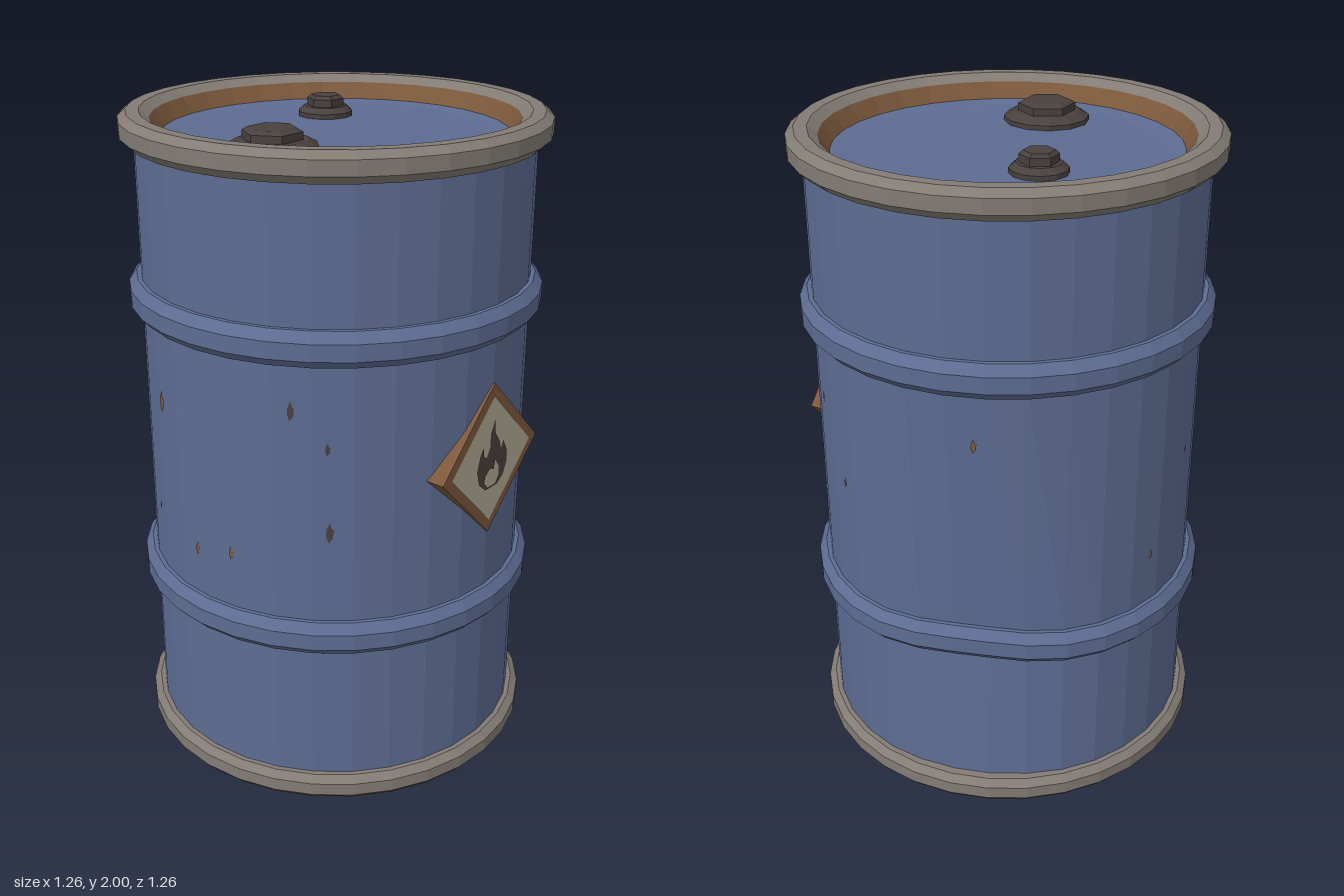
import * as THREE from 'three';

const SIDES = 32;

function material(name, color) {
  const m = new THREE.MeshStandardMaterial({ color });
  m.name = name;
  return m;
}

// Inward dent low on the +x side, slightly towards the back
function dentDepth(angle, y) {
  const a = (angle + 0.3) / 0.28;
  const h = (y - 0.57) / 0.3;
  return 0.05 * Math.exp(-(a * a + h * h) / 2);
}

function faceted(geometry) {
  const flat = geometry.index ? geometry.toNonIndexed() : geometry;
  flat.computeVertexNormals();
  return flat;
}

function lathe(profile, sides = SIDES, dented = false) {
  const g = new THREE.LatheGeometry(profile.map(([r, y]) => new THREE.Vector2(r, y)), sides);
  if (dented) {
    const p = g.attributes.position;
    for (let i = 0; i < p.count; i++) {
      const x = p.getX(i), y = p.getY(i), z = p.getZ(i);
      const s = 1 - dentDepth(Math.atan2(z, x), y) / Math.hypot(x, z);
      p.setXYZ(i, x * s, y, z * s);
    }
  }
  return faceted(g);
}

function polygon(points) {
  return new THREE.Shape(points.map(([x, y]) => new THREE.Vector2(x, y)));
}

const diamond = (h) => polygon([[h, 0], [0, h], [-h, 0], [0, -h]]);

export function createModel() {
  const blue = material('blue paint', 0x5d6c92);
  const grey = material('worn steel', 0x837c75);
  const rust = material('rust', 0x7c593c);
  const dark = material('dark iron', 0x48413e);
  const cream = material('label cream', 0xb0a993);

  const group = new THREE.Group();
  function add(name, geometry, mat, parent = group) {
    const mesh = new THREE.Mesh(geometry, mat);
    mesh.name = name;
    parent.add(mesh);
    return mesh;
  }

  // Drum wall and its two rolling hoops
  add('body', lathe([[0.59, 0.06], [0.59, 0.515], [0.59, 0.62], [0.59, 1.42],
    [0.59, 1.52], [0.59, 1.93]], SIDES, true), blue);
  for (const [name, y] of [['lowerHoop', 0.515], ['upperHoop', 1.415]]) {
    add(name, lathe([[0.585, y], [0.603, y], [0.626, y + 0.025], [0.626, y + 0.075],
      [0.603, y + 0.105], [0.585, y + 0.105]], SIDES, true), blue);
  }

  // Rims, rusty underside and recessed lid
  add('base', lathe([[0, 0], [0.615, 0], [0.627, 0.015]]), rust);
  add('bottomRim', lathe([[0.627, 0.015], [0.627, 0.055], [0.605, 0.075], [0.58, 0.075]]), grey);
  add('topRim', lathe([[0.58, 1.912], [0.605, 1.912], [0.632, 1.937], [0.632, 1.98],
    [0.608, 2], [0.57, 2], [0.54, 1.978]]), grey);
  add('innerWall', lathe([[0.54, 1.978], [0.51, 1.93]]), rust);
  add('lid', lathe([[0.51, 1.93], [0.45, 1.925], [0, 1.925]]), blue);

  // Screw plugs: round flange with a hexagonal head
  for (const [name, x, z, r] of [['largePlug', -0.305, 0.03, 0.13], ['smallPlug', 0.175, -0.19, 0.084]]) {
    const plug = new THREE.Group();
    plug.name = name;
    plug.position.set(x, 1.925, z);
    group.add(plug);
    add('flange', lathe([[r, 0], [r, 0.014], [r * 0.78, 0.03], [0, 0.03]], 12), dark, plug);
    const head = add('hexHead', lathe([[r * 0.67, 0.028], [r * 0.67, 0.052],
      [r * 0.53, 0.062], [0, 0.062]], 6), dark, plug);
    head.rotation.y = Math.PI / 2;
  }

  // Flat diamond hazard plate on the front
  const sign = new THREE.Group();
  sign.name = 'hazardSign';
  sign.position.set(0, 1.045, 0);
  group.add(sign);
  const frame = new THREE.ExtrudeGeometry(diamond(0.24), { depth: 0.065, bevelEnabled: false });
  add('signFrame', frame, rust, sign).position.z = 0.531;
  add('signFace', new THREE.ShapeGeometry(diamond(0.2)), cream, sign).position.z = 0.598;

  const flame = polygon([[-0.03, -0.09], [-0.065, -0.06], [-0.078, -0.015], [-0.065, 0.03],
    [-0.05, 0.055], [-0.045, 0.025], [-0.03, 0.015], [-0.015, 0.045], [-0.015, 0.085],
    [0.005, 0.128], [0.008, 0.085], [0.035, 0.045], [0.042, 0.02], [0.053, 0.045],
    [0.072, 0.01], [0.078, -0.03], [0.06, -0.07], [0.03, -0.09]]);
  flame.holes.push(new THREE.Path([[-0.02, -0.085], [0.02, -0.085], [0.038, -0.06], [0.033, -0.03],
    [0.015, -0.005], [0.008, -0.035], [-0.01, -0.025], [-0.034, -0.045], [-0.038, -0.065]]
    .map(([x, y]) => new THREE.Vector2(x, y))));
  add('flame', new THREE.ShapeGeometry(flame), dark, sign).position.z = 0.6;

  // Paint chips lying on the wall facets: angle from the front, height, size, colour
  const chipShape = new THREE.ShapeGeometry(polygon([[-0.003, -0.03], [0.008, -0.014],
    [0.011, 0.008], [0.004, 0.014], [0.001, 0.03], [-0.008, 0.01], [-0.01, -0.008]]));
  const chips = [
    [-62, 1.28, 1, dark], [-52, 1.17, 0.7, dark], [-51.5, 0.91, 1.1, dark],
    [63, 1.0, 0.6, dark], [50, 1.23, 0.7, rust], [39, 0.85, 0.9, rust],
    [109, 1.26, 0.8, rust], [194.6, 1.25, 0.9, rust], [217, 1.0, 1.1, dark],
    [250, 1.19, 1.2, rust], [183, 1.07, 0.6, rust], [165, 0.79, 0.6, rust],
    [244, 0.82, 0.5, dark], [266, 0.77, 0.8, rust], [279, 0.8, 0.8, rust],
  ];
  const step = (Math.PI * 2) / SIDES;
  for (const [degrees, y, size, mat] of chips) {
    const angle = THREE.MathUtils.degToRad(degrees);
    const facet = (Math.floor(angle / step) + 0.5) * step;
    const r = 0.59 * Math.cos(step / 2) + 0.003
      - dentDepth(Math.PI / 2 - facet, y);
    const side = THREE.MathUtils.clamp(0.59 * (angle - facet), -0.045, 0.045);
    const chip = add('paintChip', chipShape, mat);
    chip.position.set(r * Math.sin(facet) + side * Math.cos(facet), y,
      r * Math.cos(facet) - side * Math.sin(facet));
    chip.rotation.y = facet;
    chip.scale.set(size, size, 1);
  }

  return group;
}
